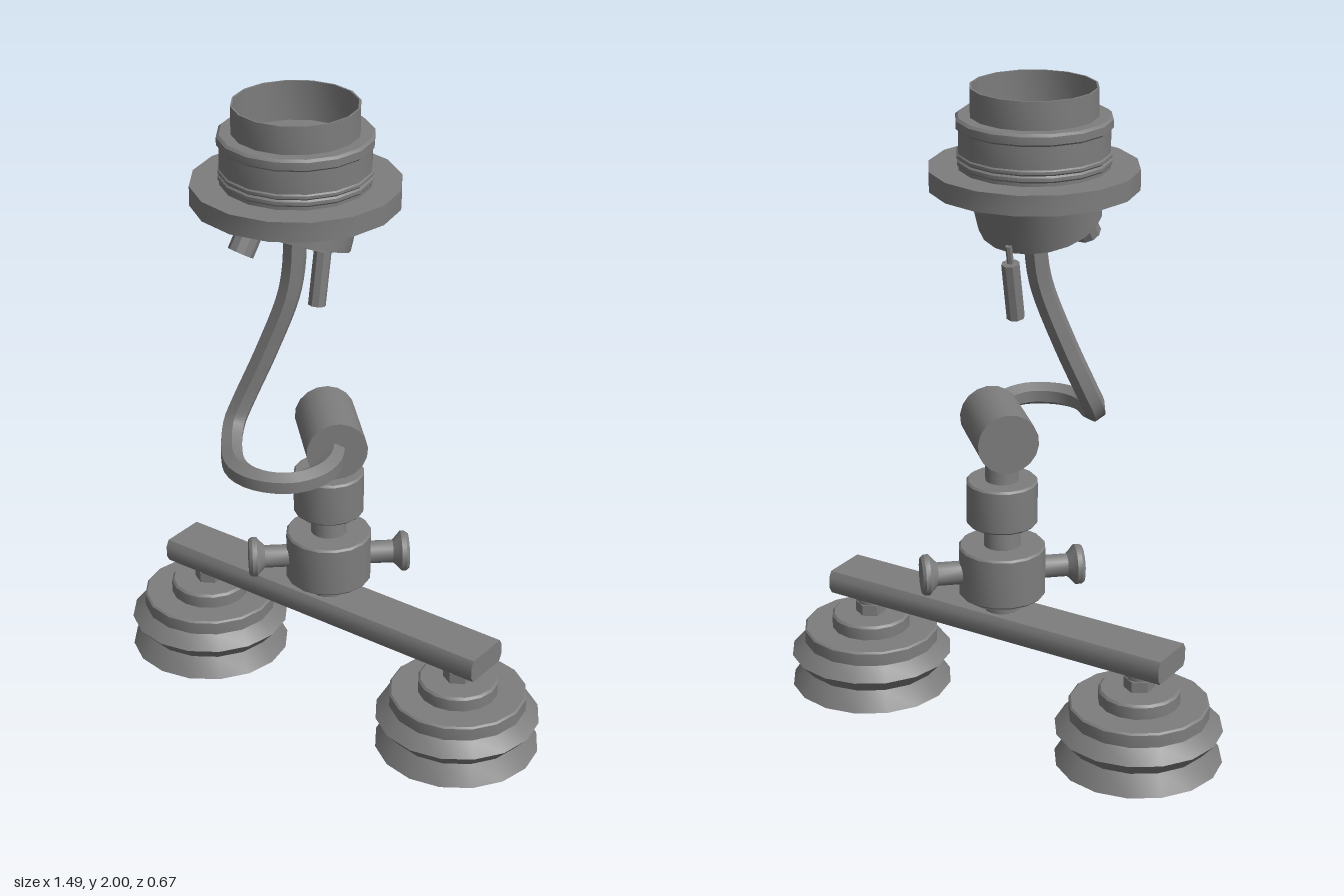
import * as THREE from 'three';
import { toCreasedNormals } from 'three/addons/utils/BufferGeometryUtils.js';

const material = new THREE.MeshStandardMaterial({ color: 0x7d7d7d, side: THREE.DoubleSide });
const V = (x, y, z) => new THREE.Vector3(x, y, z);

// Rounds stay smooth, real edges stay sharp
function add(parent, name, geometry, x = 0, y = 0, z = 0) {
  const mesh = new THREE.Mesh(toCreasedNormals(geometry, 0.6), material);
  mesh.name = name;
  mesh.position.set(x, y, z);
  parent.add(mesh);
  return mesh;
}

// Turned part from [radius, height] pairs
const lathe = (profile, sides = 16) =>
  new THREE.LatheGeometry(profile.map(([r, y]) => new THREE.Vector2(r, y)), sides);

// Cylinder running between two points
function rod(parent, name, a, b, radius, sides) {
  const mesh = add(parent, name, new THREE.CylinderGeometry(radius, radius, a.distanceTo(b), sides));
  mesh.position.copy(a).lerp(b, 0.5);
  mesh.quaternion.setFromUnitVectors(V(0, 1, 0), b.clone().sub(a).normalize());
}

function makeFoot(x) {
  const foot = new THREE.Group();
  foot.name = 'suctionFoot';
  foot.position.set(x, 0, -0.085);
  // Bellows cup, hollow underneath
  add(foot, 'suctionCup', lathe([
    [0, 0.14], [0.18, 0.14], [0.225, 0.105], [0.185, 0.06], [0.235, 0], [0.255, 0],
    [0.215, 0.06], [0.255, 0.105], [0.213, 0.145], [0.213, 0.185], [0.207, 0.19],
    [0.124, 0.19], [0.124, 0.228], [0.117, 0.235], [0, 0.235]]));
  add(foot, 'nut', new THREE.CylinderGeometry(0.047, 0.047, 0.035, 6), 0, 0.252);
  add(foot, 'bolt', new THREE.CylinderGeometry(0.039, 0.039, 0.09, 12), 0, 0.275);
  add(foot, 'washer', new THREE.CylinderGeometry(0.049, 0.049, 0.02, 12), 0, 0.291);
  return foot;
}

// Flat bar with softened long edges
function makeBar() {
  const w = 0.083, h = 0.0375, cx = 0.011, cy = 0.02;
  const section = new THREE.Shape([[-w, -h + cy], [-w + cx, -h], [w - cx, -h], [w, -h + cy],
    [w, h - cy], [w - cx, h], [-w + cx, h], [-w, h - cy]].map(([x, y]) => new THREE.Vector2(x, y)));
  return new THREE.ExtrudeGeometry(section, { depth: 1.185, bevelEnabled: false })
    .translate(0, 0, -0.5925).rotateY(Math.PI / 2);
}

function makePost() {
  const post = new THREE.Group();
  post.name = 'post';
  post.position.set(-0.002, 0, -0.08);
  add(post, 'spindle', lathe([[0, 0.36], [0.056, 0.36], [0.056, 0.7], [0.051, 0.72], [0.051, 0.9], [0, 0.9]]));
  add(post, 'clampCollar', lathe([[0, 0.41], [0.105, 0.41], [0.105, 0.425], [0.127, 0.425],
    [0.133, 0.431], [0.133, 0.58], [0.127, 0.586], [0, 0.586]]));
  add(post, 'upperCollar', lathe([[0, 0.66], [0.103, 0.66], [0.109, 0.666], [0.109, 0.794], [0.103, 0.8], [0, 0.8]]));
  // Opposed thumbscrews
  for (const s of [1, -1]) {
    const knob = add(post, 'thumbscrew', lathe([[0, 0.1], [0.036, 0.1], [0.036, 0.2], [0.052, 0.216],
      [0.063, 0.225], [0.063, 0.24], [0.056, 0.249], [0.012, 0.251], [0, 0.247]], 12), 0, 0.499, 0);
    knob.quaternion.setFromUnitVectors(V(0, 1, 0), V(0.75 * s, 0, -0.66 * s).normalize());
  }
  return post;
}

function makeHead() {
  const head = new THREE.Group();
  head.name = 'head';
  head.position.set(-0.063, 0, 0);
  add(head, 'flange', new THREE.CylinderGeometry(0.309, 0.309, 0.06, 16), 0, 1.735);
  // Stepped barrel with an open neck
  add(head, 'barrel', lathe([
    [0, 1.76], [0.222, 1.76], [0.222, 1.775], [0.226, 1.78], [0.226, 1.79], [0.221, 1.795],
    [0.226, 1.8], [0.226, 1.808], [0.222, 1.812], [0.222, 1.88], [0.229, 1.886], [0.229, 1.909],
    [0.221, 1.916], [0.187, 1.916], [0.187, 2], [0.181, 2], [0.181, 1.88], [0, 1.88]]));
  add(head, 'contact', new THREE.CylinderGeometry(0.037, 0.037, 0.012, 8), 0, 1.884);

  // Lower housing, its end cut on a slant
  const housing = new THREE.CylinderGeometry(0.193, 0.187, 1, 20);
  const p = housing.attributes.position;
  for (let i = 0; i < p.count; i++) {
    if (p.getY(i) > 0) p.setY(i, 1.71);
    else {
      const z = p.getZ(i) * 0.87 + 0.035;
      p.setZ(i, z);
      p.setY(i, 1.599 + 0.39 * (z - 0.035));
    }
  }
  add(head, 'lowerHousing', housing);

  // Fittings on the slanted face
  const face = new THREE.Group();
  face.name = 'slantedFace';
  face.position.set(0, 1.599, 0.035);
  face.rotation.x = -Math.atan(0.39);
  head.add(face);
  add(face, 'tubeSocket', new THREE.TorusGeometry(0.046, 0.01, 6, 12).rotateX(Math.PI / 2), 0, -0.002, -0.025);
  add(face, 'sidePad', new THREE.CylinderGeometry(0.05, 0.05, 0.012, 12), 0.105, -0.003, 0.01);

  rod(head, 'sidePort', V(-0.1, 1.66, 0.05), V(-0.114, 1.548, 0.118), 0.04, 10);
  rod(head, 'pullCord', V(0, 1.56, -0.14), V(0, 1.49, -0.125), 0.01, 6);
  rod(head, 'pullHandle', V(0, 1.505, -0.13), V(0, 1.332, -0.1), 0.027, 8);
  return head;
}

export function createModel() {
  const model = new THREE.Group();
  model.name = 'suctionMountedLampStand';
  model.add(makeFoot(-0.488), makeFoot(0.488), makePost(), makeHead());
  add(model, 'crossbar', makeBar(), 0, 0.336, -0.078);

  // Swivel barrel lying diagonally on the post
  rod(model, 'swivelBarrel', V(-0.066, 0.947, -0.145), V(0.111, 0.947, 0.032), 0.093, 18);

  // Bent neck from the barrel face up into the head
  const path = new THREE.CatmullRomCurve3([
    V(0.09, 0.942, 0.015), V(0.133, 0.942, 0.09), V(0.145, 0.942, 0.17), V(0.11, 0.942, 0.255),
    V(0.02, 0.942, 0.3), V(-0.07, 0.943, 0.285), V(-0.145, 0.953, 0.215), V(-0.19, 1.0, 0.143),
    V(-0.181, 1.06, 0.112), V(-0.131, 1.22, 0.062), V(-0.08, 1.4, 0.018), V(-0.069, 1.5, 0.004), V(-0.067, 1.65, 0)]);
  add(model, 'bentNeck', new THREE.TubeGeometry(path, 48, 0.036, 6, false));
  return model;
}
